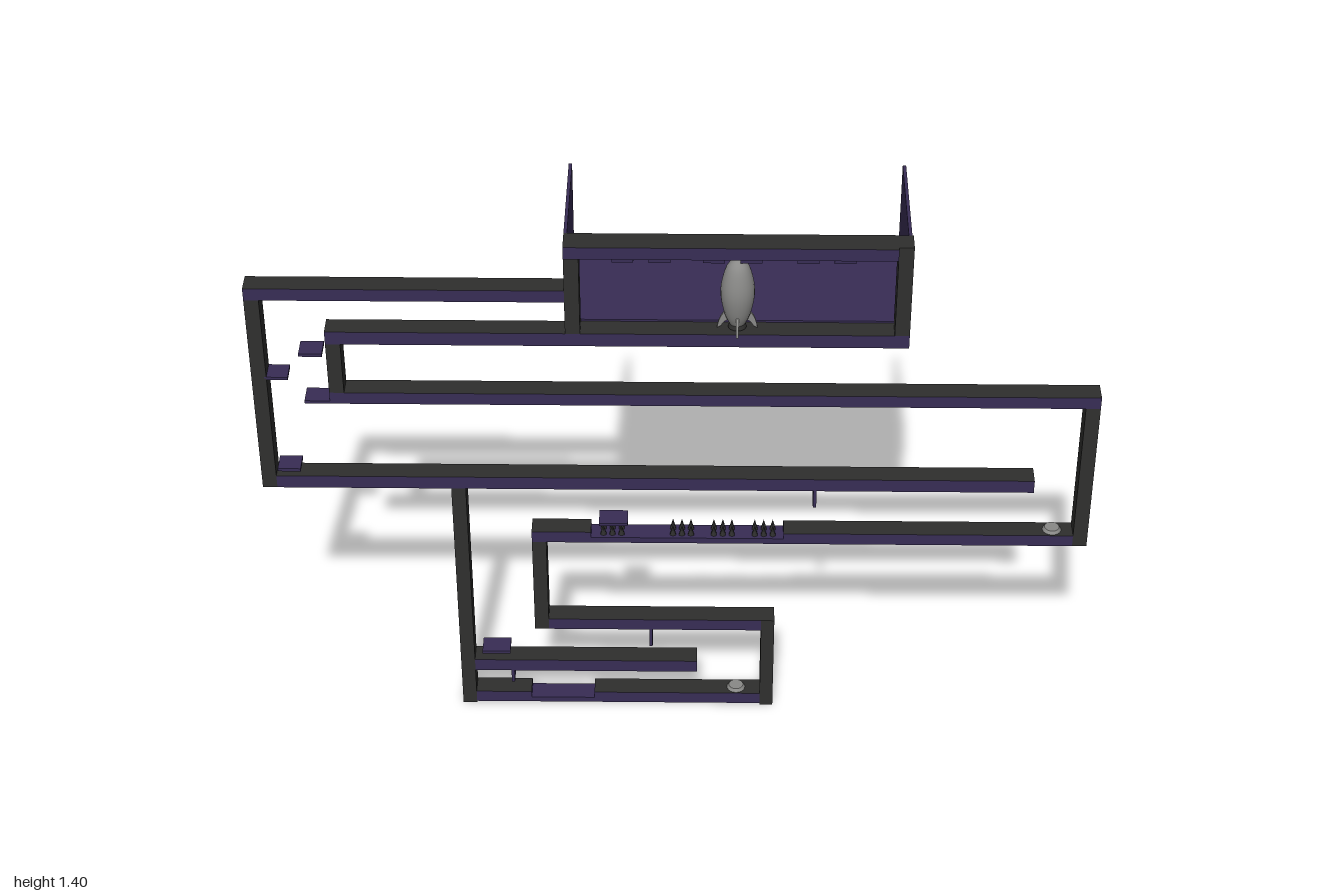
import * as THREE from 'three';

const purple = new THREE.MeshStandardMaterial({ color: 0x382d55 });
purple.name = 'deep purple';
const dark = new THREE.MeshStandardMaterial({ color: 0x2f2f2e });
dark.name = 'charcoal';
const steel = new THREE.MeshStandardMaterial({ color: 0x8a8a88, side: THREE.DoubleSide });
steel.name = 'steel grey';

const Z0 = 0.118, Z1 = 0.17, ZM = (Z0 + Z1) / 2;
// horizontal beams: purple front and ends, charcoal top, bottom and back
const beamFaces = [purple, purple, dark, dark, purple, dark];

export function createModel() {
  const model = new THREE.Group();
  model.name = 'platformLevel';

  // box given by its limits on each axis
  function block(name, x0, x1, y0, y1, material, z0 = Z0, z1 = Z1, parent = model) {
    const mesh = new THREE.Mesh(new THREE.BoxGeometry(x1 - x0, y1 - y0, z1 - z0), material);
    mesh.position.set((x0 + x1) / 2, (y0 + y1) / 2, (z0 + z1) / 2);
    mesh.name = name;
    parent.add(mesh);
    return mesh;
  }

  // corridor floors and ceilings
  [
    [-1, -0.26, 1.243, 1.275],
    [-0.82, 0.54, 1.12, 1.155],
    [-0.82, 1, 0.948, 0.98],
    [-0.965, 0.86, 0.695, 0.73],
    [0.26, 0.965, 0.53, 0.562],
    [-0.355, -0.21, 0.53, 0.562],
    [-0.32, 0.21, 0.25, 0.282],
    [-0.51, 0.05, 0.11, 0.145],
    [-0.51, -0.37, 0.005, 0.038],
    [-0.21, 0.21, 0.005, 0.038],
  ].forEach((b) => block('corridorBeam', ...b, beamFaces));

  // corridor end walls
  [
    [-1, -0.965, 0.695, 1.243],
    [-0.82, -0.785, 0.98, 1.12],
    [0.965, 1, 0.53, 0.948],
    [-0.545, -0.51, 0, 0.695],
    [-0.355, -0.32, 0.25, 0.53],
    [0.21, 0.243, 0, 0.282],
  ].forEach((b) => block('corridorWall', ...b, dark));

  // sunken floors
  block('spikePitFloor', -0.21, 0.26, 0.53, 0.546, purple);
  block('lowerPitFloor', -0.37, -0.21, 0.005, 0.02, purple);

  // small ledges: x range and height
  [
    [-0.97, -0.915, 1.02],
    [-0.885, -0.83, 1.088],
    [-0.88, -0.82, 0.952],
    [-0.96, -0.905, 0.748],
    [-0.19, -0.12, 0.586],
    [-0.49, -0.42, 0.17],
  ].forEach(([x0, x1, y]) => block('ledge', x0, x1, y - 0.004, y + 0.004, purple));

  // thin panels hanging from the beams
  [
    [0.333, 0.645, 0.695],
    [-0.065, 0.195, 0.25],
    [-0.415, 0.072, 0.11],
  ].forEach(([x, y0, y1]) => block('hangingPanel', x - 0.004, x + 0.004, y0, y1, purple));

  // clusters of spikes in the pit
  const spikes = new THREE.Group();
  spikes.name = 'spikes';
  model.add(spikes);
  const spikeGeo = new THREE.ConeGeometry(0.008, 0.03, 6);
  [-0.18, -0.01, 0.09, 0.19].forEach((x) => {
    for (let i = 0; i < 6; i++) {
      const spike = new THREE.Mesh(spikeGeo, dark);
      spike.position.set(x + (i % 3) * 0.022, 0.561, i < 3 ? 0.132 : 0.155);
      spike.name = 'spike';
      spikes.add(spike);
    }
  });

  // round floor pads
  [[0.915, 0.562], [0.15, 0.038]].forEach(([x, y]) => {
    const pad = new THREE.Mesh(new THREE.CylinderGeometry(0.018, 0.023, 0.008, 20), steel);
    pad.position.set(x, y + 0.004, ZM);
    pad.name = 'floorPad';
    model.add(pad);
  });

  // hangar: floor, side walls and front frame
  const hangar = new THREE.Group();
  hangar.name = 'hangar';
  model.add(hangar);
  block('hangarFloor', -0.26, 0.54, 1.153, 1.16, purple, -0.18, Z0, hangar);
  block('hangarWallRight', -0.26, -0.252, 1.16, 1.4, purple, -0.18, Z0, hangar);
  block('hangarWallLeft', 0.529, 0.537, 1.16, 1.4, purple, -0.18, Z0, hangar);
  block('wallSkirting', 0.537, 0.54, 1.16, 1.205, dark, -0.18, Z0, hangar);
  block('hangarPostRight', -0.26, -0.225, 1.155, 1.37, dark, Z0, Z1, hangar);
  block('hangarPostLeft', 0.505, 0.54, 1.155, 1.4, dark, Z0, Z1, hangar);
  block('hangarHeader', -0.26, 0.505, 1.368, 1.4, beamFaces, Z0, 0.178, hangar);
  [-0.15, -0.065, 0.06, 0.145, 0.275, 0.36].forEach((x) =>
    block('ceilingLamp', x, x + 0.05, 1.348, 1.385, purple, 0.112, 0.16, hangar));

  // rocket: turned hull with four splayed fins
  const rocket = new THREE.Group();
  rocket.name = 'rocket';
  rocket.position.set(0.14, 1.157, 0.14);
  const profile = new THREE.SplineCurve([
    [0.018, 0.012], [0.03, 0.04], [0.039, 0.085], [0.038, 0.125], [0.027, 0.168], [0.012, 0.186], [0, 0.19],
  ].map(([r, y]) => new THREE.Vector2(r, y))).getPoints(18);
  profile[profile.length - 1].x = 0;
  const hull = new THREE.Mesh(new THREE.LatheGeometry(profile, 24), steel);
  hull.name = 'rocketHull';
  const nozzle = new THREE.Mesh(new THREE.CylinderGeometry(0.018, 0.022, 0.014, 16), dark);
  nozzle.position.y = 0.01;
  nozzle.name = 'rocketNozzle';
  rocket.add(hull, nozzle);
  const finShape = new THREE.Shape();
  finShape.moveTo(0.024, 0.05);
  finShape.quadraticCurveTo(0.043, 0.035, 0.047, 0);
  finShape.lineTo(0.037, 0.006);
  finShape.quadraticCurveTo(0.032, 0.02, 0.02, 0.022);
  const finGeo = new THREE.ExtrudeGeometry(finShape, { depth: 0.006, bevelEnabled: false, curveSegments: 6 });
  finGeo.translate(0, 0, -0.003);
  for (let i = 0; i < 4; i++) {
    const fin = new THREE.Mesh(finGeo, steel);
    fin.rotation.y = (i * Math.PI) / 2;
    fin.name = 'rocketFin';
    rocket.add(fin);
  }
  hangar.add(rocket);

  return model;
}
